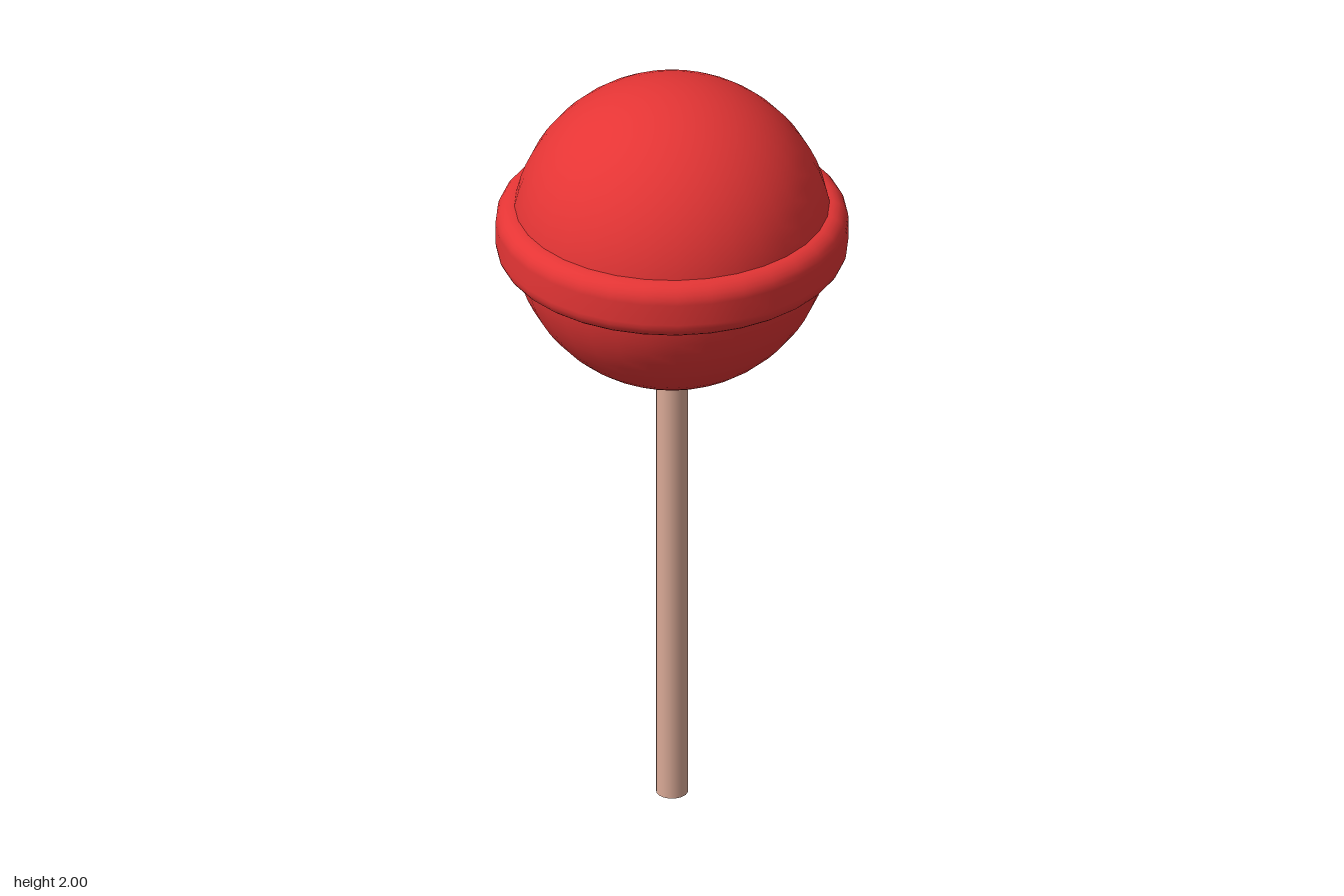
import * as THREE from 'three';

const CANDY_Y = 1.6;

export function createModel() {
  const model = new THREE.Group();
  model.name = 'lollipop';
  const red = new THREE.MeshStandardMaterial({ color: 0xe53535 });
  const tan = new THREE.MeshStandardMaterial({ color: 0xdcab98 });

  const add = (name, geometry, material, y) => {
    const mesh = new THREE.Mesh(geometry, material);
    mesh.name = name;
    mesh.position.y = y;
    model.add(mesh);
  };

  // Round candy
  add('candyBall', new THREE.SphereGeometry(0.4, 32, 32), red, CANDY_Y);

  // Band around the middle: flat outer wall with softly rounded rims
  const outer = 0.44, half = 0.075, round = 0.047, steps = 6;
  const profile = [new THREE.Vector2(0.37, -half)];
  for (const side of [-1, 1]) {
    for (let i = 0; i <= steps; i++) {
      const t = (side < 0 ? i - steps : i) / steps * Math.PI / 2;
      profile.push(new THREE.Vector2(
        outer - round + round * Math.cos(t),
        side * (half - round) + round * Math.sin(t)
      ));
    }
  }
  profile.push(new THREE.Vector2(0.37, half));
  add('candyBand', new THREE.LatheGeometry(profile, 32), red, CANDY_Y);

  // Stick, its upper end sunk into the candy
  const length = 1.25;
  add('stick', new THREE.CylinderGeometry(0.04, 0.04, length, 16), tan, length / 2);

  return model;
}
